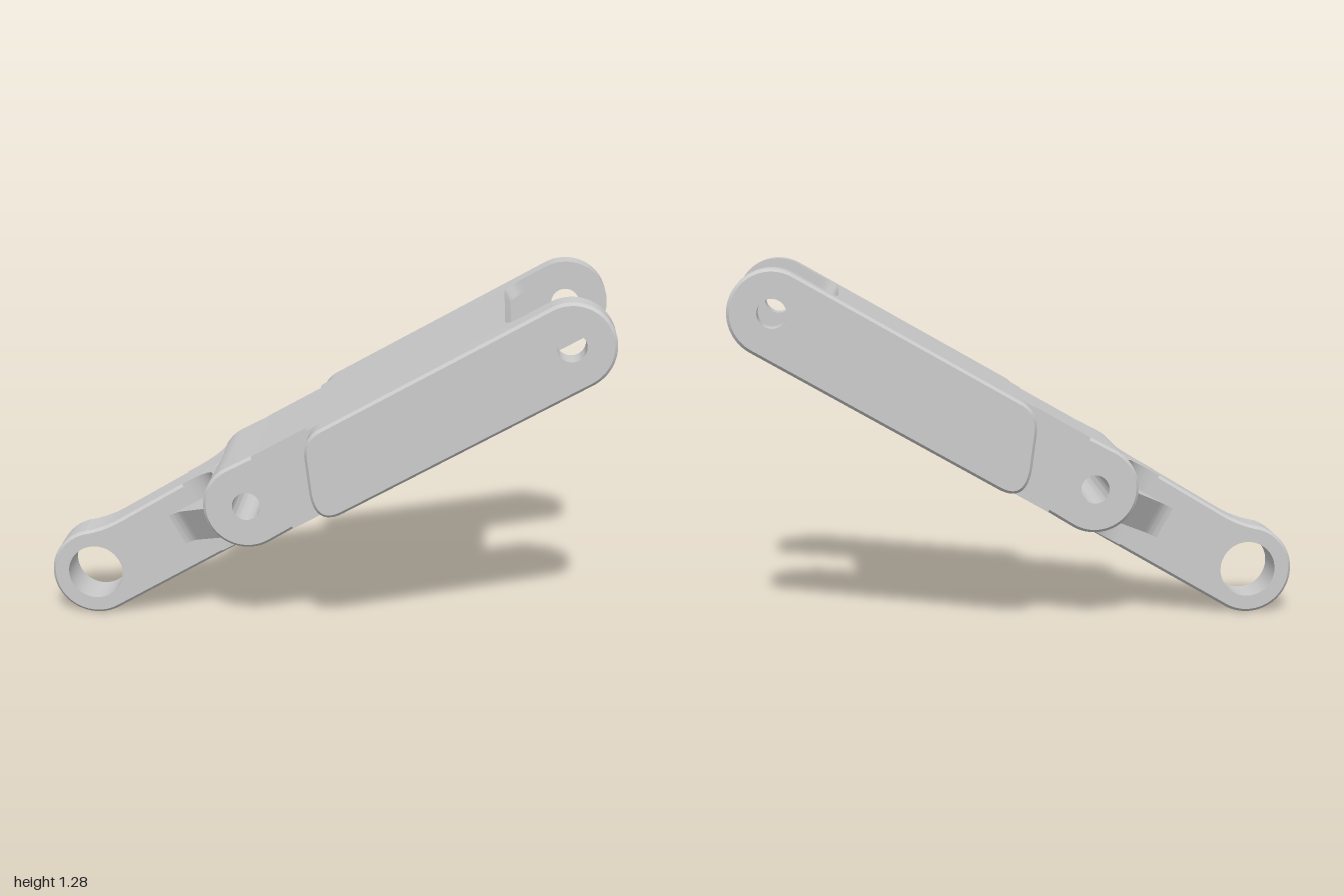
import * as THREE from 'three';
import { toCreasedNormals } from 'three/addons/utils/BufferGeometryUtils.js';

const material = new THREE.MeshStandardMaterial({ color: 0xcccccc });
const BEVEL = 0.01;

// Closed outline from [x, y, cornerRadius] points
function rounded(points, target = new THREE.Shape()) {
  const n = points.length;
  points.forEach(([x, y, r = 0], i) => {
    const p = new THREE.Vector2(x, y);
    const toward = ([a, b]) => new THREE.Vector2(a, b).sub(p).setLength(r).add(p);
    const a = r ? toward(points[(i + n - 1) % n]) : p;
    if (i === 0) target.moveTo(a.x, a.y);
    else target.lineTo(a.x, a.y);
    if (r) {
      const b = toward(points[(i + 1) % n]);
      target.quadraticCurveTo(x, y, b.x, b.y);
    }
  });
  target.closePath();
  return target;
}

// Half outline on the +z side, mirrored to both sides
const sym = (half) => [...half, ...half.map(([u, z, r]) => [u, -z, r]).reverse()];

function mesh(name, geometry) {
  const m = new THREE.Mesh(toCreasedNormals(geometry, 0.5), material);
  m.name = name;
  return m;
}

// Side profile with [u, radius] pin holes, extruded across the link.
// The outer edges are chamfered; the holes stay straight.
function sideSlab(name, shape, holes, z0, z1, bevel = BEVEL) {
  shape.holes = holes.map(([u, r]) => new THREE.Path().absarc(u, 0, r, 0, Math.PI * 2, true));
  const g = new THREE.ExtrudeGeometry(shape, {
    depth: z1 - z0 - 2 * bevel, curveSegments: 24, bevelEnabled: bevel > 0,
    bevelSize: bevel, bevelThickness: bevel, bevelOffset: -bevel, bevelSegments: 1,
  });
  const p = g.attributes.position;
  for (let i = 0; i < p.count; i++) {
    for (const [u, r] of holes) {
      const d = Math.hypot(p.getX(i) - u, p.getY(i));
      if (d < r + 1.5 * BEVEL) p.setXY(i, u + (p.getX(i) - u) * r / d, p.getY(i) * r / d);
    }
  }
  return mesh(name, g.translate(0, 0, z0 + bevel));
}

// Plan outline extruded through the height of the link
function planSlab(name, shape, v0, v1) {
  const g = new THREE.ExtrudeGeometry(shape, { depth: v1 - v0, curveSegments: 10, bevelEnabled: false });
  return mesh(name, g.rotateX(-Math.PI / 2).translate(0, v0, 0));
}

// Plan of the body, ending in a filleted fork slot at u = end
const bodyPlan = (end) => rounded(sym([
  [0.78, 0.25], [1.01, 0.25], [1.01, 0.295], [end + 0.07, 0.295], [end + 0.07, 0.285], [end, 0.285, 0.06],
]));

export function createModel() {
  const model = new THREE.Group();
  model.name = 'forkedLink';
  // Local frame: x runs along the link from the eye to the fork
  const link = new THREE.Group();
  link.name = 'link';
  link.position.set(-0.84, 0.16, 0);
  link.rotation.z = THREE.MathUtils.degToRad(29.8);
  model.add(link);
  const bossHole = [0.674, 0.05];

  // Eye and shank
  const shank = new THREE.Shape();
  shank.absarc(0, 0, 0.16, Math.PI * 0.42, Math.PI * 1.5, false);
  shank.lineTo(0.674, -0.153);
  shank.lineTo(0.79, -0.15);
  shank.lineTo(0.79, 0.15);
  shank.lineTo(0.68, 0.15);
  shank.lineTo(0.6, 0.142);
  shank.lineTo(0.45, 0.14);
  shank.lineTo(0.17, 0.133);
  shank.quadraticCurveTo(0.1, 0.134, 0.04, 0.155);
  link.add(sideSlab('eyeAndShank', shank, [[0, 0.1], bossHole], -0.075, 0.075));

  // Cross boss with its pin hole
  const boss = new THREE.Shape();
  boss.absarc(0.674, 0, 0.154, Math.PI / 2, Math.PI * 1.5, false);
  boss.lineTo(0.795, -0.15);
  boss.lineTo(0.795, 0.15);
  boss.closePath();
  link.add(sideSlab('boss', boss, [bossHole], -0.25, 0.25));

  // Concave flares from shank to boss, and side gussets
  const flare = rounded(sym([[0.46, 0.06], [0.46, 0.075], [0.61, 0.075, 0.13], [0.61, 0.205, 0.04], [0.7, 0.205]].slice(0, 3)
    .concat([[0.61, 0.17 + 0.035], [0.7, 0.205]])));
  link.add(planSlab('upperFlare', flare, 0.06, 0.141));
  link.add(planSlab('lowerFlare', flare, -0.148, -0.06));
  const gusset = rounded(sym([[0.34, 0.06], [0.34, 0.074], [0.385, 0.076, 0.04], [0.54, 0.245], [0.61, 0.245]]));
  link.add(planSlab('gussets', gusset, -0.062, 0.06));

  // Walls around the underside pocket, and its ceiling
  const pocket = sym([
    [0.8, 0.21, 0.045], [1.035, 0.21, 0.035], [1.035, 0.285, 0.035], [1.58, 0.285, 0.05],
  ]);
  const frame = bodyPlan(1.63);
  frame.holes.push(rounded([...pocket].reverse(), new THREE.Path()));
  link.add(planSlab('pocketWalls', frame, -0.15, 0.104));
  link.add(planSlab('pocketCeiling', rounded(pocket), 0.087, 0.106));

  // Top plate
  link.add(planSlab('topPlate', bodyPlan(1.78), 0.104, 0.15));

  // Fork arms: chamfered outside, square edged towards the slot
  const arm = new THREE.Shape();
  arm.absarc(1.948, 0, 0.15, -Math.PI / 2, Math.PI / 2, false);
  arm.lineTo(1.07, 0.15);
  arm.quadraticCurveTo(1.0, 0.15, 0.97, 0.075);
  arm.lineTo(0.925, -0.035);
  arm.quadraticCurveTo(0.885, -0.15, 0.995, -0.15);
  arm.closePath();
  const armHole = [[1.948, 0.05]];
  link.add(sideSlab('frontForkArm', arm, armHole, 0.29, 0.38));
  link.add(sideSlab('backForkArm', arm, armHole, -0.38, -0.29));
  link.add(sideSlab('frontArmInnerFace', arm, armHole, 0.285, 0.305, 0));
  link.add(sideSlab('backArmInnerFace', arm, armHole, -0.305, -0.285, 0));

  return model;
}
